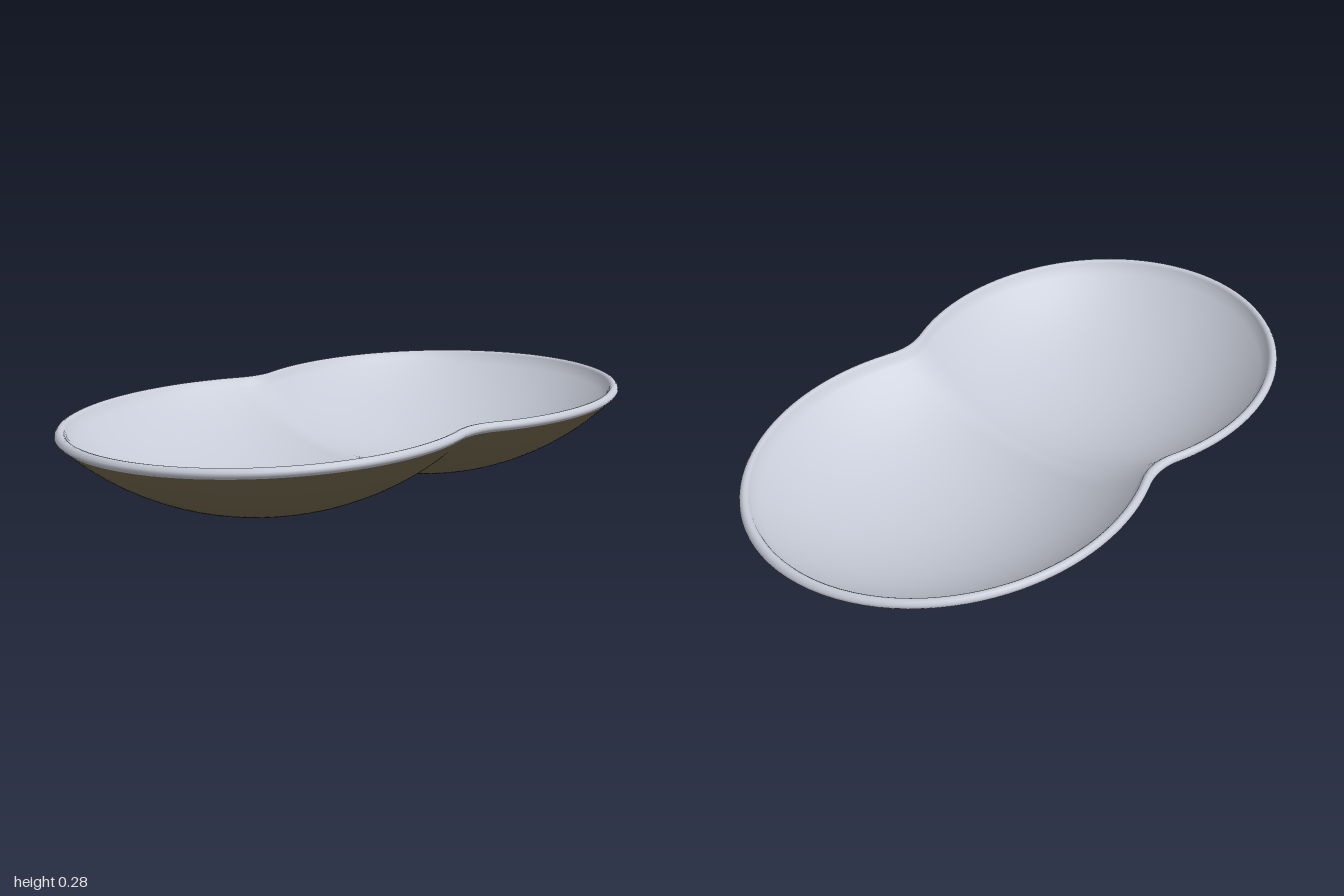
import * as THREE from 'three';

const SEG = 160;          // steps around the dish
const RIM_Y = 0.262;      // height of the widest edge
const LOBE_Z = 0.34, RX = 0.57, RZ = 0.66, BALL = 0.755;

// Height of one shallow spherical lobe, stretched along z
function lobe(x, z) {
  const d2 = x * x + ((z * RX) / RZ) ** 2;
  return BALL - Math.sqrt(Math.max(BALL * BALL - d2, 0));
}

// Two lobes blended smoothly; the blend widens toward the waist's edge
function bowl(x, z) {
  const a = lobe(x, z - LOBE_Z), b = lobe(x, z + LOBE_Z);
  const k = 0.02 + 0.24 * x * x;
  const h = Math.max(k - Math.abs(a - b), 0) / k;
  return Math.min(a, b) - h * h * k * 0.25;
}

// Distance from the centre to the rim in a given direction
function rimRadius(c, s) {
  let lo = 0.3, hi = 1.05;
  for (let i = 0; i < 30; i++) {
    const m = (lo + hi) / 2;
    if (bowl(m * c, m * s) < RIM_Y) lo = m; else hi = m;
  }
  return lo;
}

// Closed rings swept round the centre; each row gives (radius, height) for a direction
function ringSurface(rows) {
  const pos = [], index = [];
  for (const row of rows) {
    for (let j = 0; j < SEG; j++) {
      const t = (j / SEG) * Math.PI * 2, c = Math.cos(t), s = Math.sin(t);
      const [r, y] = row(rimRadius(c, s), c, s);
      pos.push(r * c, y, r * s);
    }
  }
  for (let i = 0; i < rows.length - 1; i++) {
    for (let j = 0; j < SEG; j++) {
      const n = (j + 1) % SEG, a = i * SEG + j, b = a + SEG, c = i * SEG + n, d = c + SEG;
      index.push(a, b, c, c, b, d);
    }
  }
  const g = new THREE.BufferGeometry();
  g.setAttribute('position', new THREE.Float32BufferAttribute(pos, 3));
  g.setIndex(index);
  g.computeVertexNormals();
  return g;
}

// Rows following the bowl out to a given inset from the rim, raised by lift
function bowlRows(inset, lift, count = 44) {
  return Array.from({ length: count + 1 }, (_, i) => (R, c, s) => {
    const r = (R - inset) * Math.max(i / count, 0.0005);
    return [r, bowl(r * c, r * s) + lift];
  });
}

export function createModel() {
  const group = new THREE.Group();
  group.name = 'doubleDish';
  const glaze = new THREE.MeshStandardMaterial({ color: 0xc6cad6 });
  glaze.name = 'pale grey glaze';
  const clay = new THREE.MeshStandardMaterial({ color: 0x75694f });
  clay.name = 'brown clay';

  // Brown underside
  const underside = new THREE.Mesh(ringSurface(bowlRows(0.012, 0)), clay);
  underside.name = 'underside';

  // Rounded lip flowing into the glazed interior
  const lip = [[0.012, null], [0.004, 0.257], [0, 0.263], [0.002, 0.270], [0.008, 0.277],
    [0.016, 0.280], [0.024, 0.278], [0.031, 0.272]].map(([inset, y]) => (R, c, s) => {
    const r = R - inset;
    return [r, y ?? bowl(r * c, r * s)];
  });
  const interior = new THREE.Mesh(ringSurface([...lip, ...bowlRows(0.038, 0.03).reverse()]), glaze);
  interior.name = 'interiorAndLip';

  group.add(underside, interior);
  return group;
}
